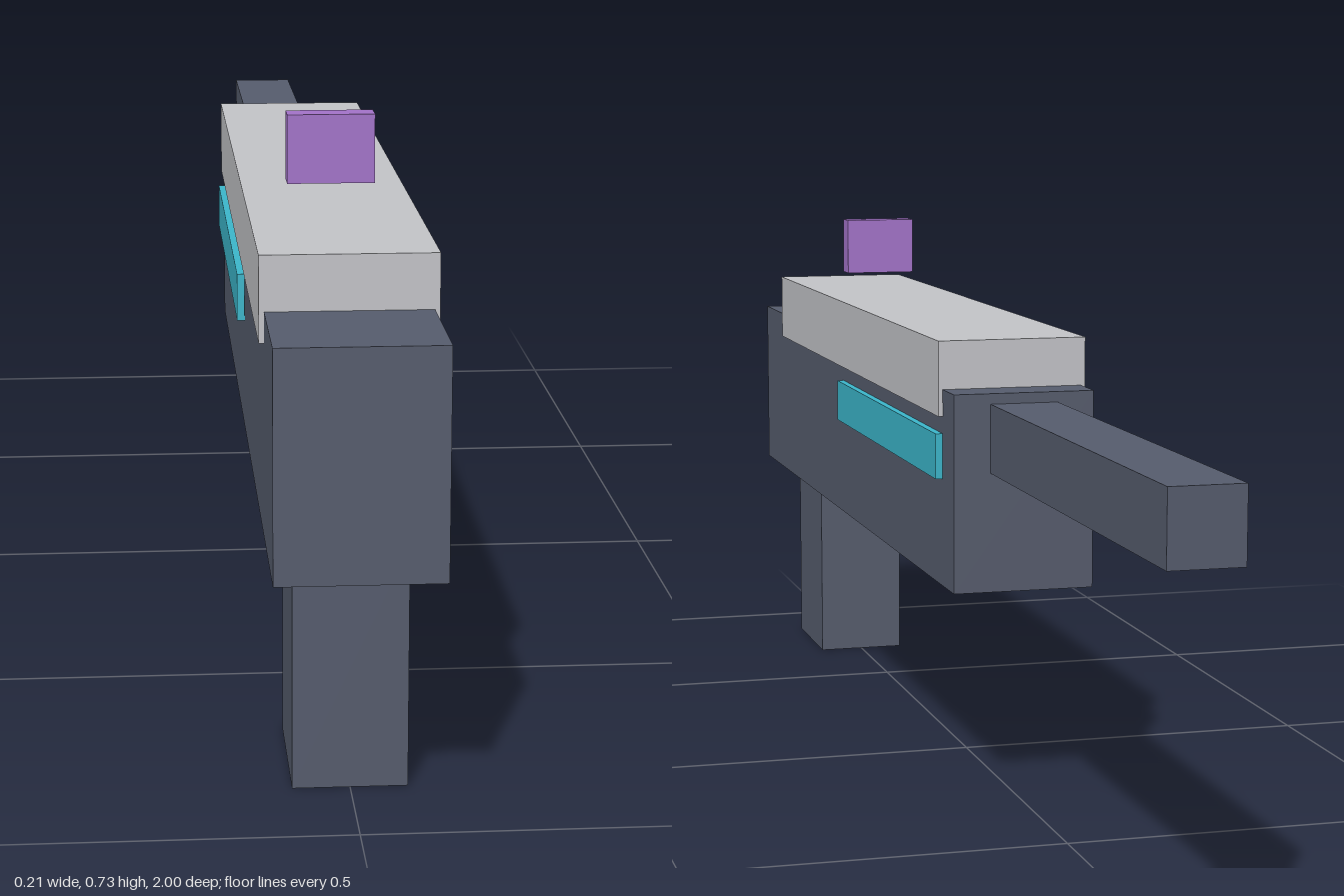
import * as THREE from 'three';

const material = (name, color) => {
  const m = new THREE.MeshStandardMaterial({ color });
  m.name = name;
  return m;
};

export function createModel() {
  const model = new THREE.Group();
  model.name = 'blaster';
  const slate = material('slate', 0x565c6d);
  const silver = material('silver', 0xc3c4c8);
  const teal = material('teal', 0x3cb6cb);
  const purple = material('purple', 0xa373c9);

  // Box given by its lower and upper limits on each axis
  const box = (name, mat, [x0, x1], [y0, y1], [z0, z1]) => {
    const mesh = new THREE.Mesh(new THREE.BoxGeometry(x1 - x0, y1 - y0, z1 - z0), mat);
    mesh.position.set((x0 + x1) / 2, (y0 + y1) / 2, (z0 + z1) / 2);
    mesh.name = name;
    model.add(mesh);
  };

  // Main body, barrel and grip
  box('body', slate, [-0.096, 0.096], [0.29, 0.556], [-0.295, 1]);
  box('barrel', slate, [-0.046, 0.046], [0.45, 0.542], [-1, -0.295]);
  box('grip', slate, [-0.067, 0.067], [0, 0.29], [0.69, 0.868]);

  // Top cover, slightly wider than the body, with the floating sight above
  box('topCover', silver, [-0.102, 0.102], [0.52, 0.621], [-0.237, 0.835]);
  box('sight', purple, [-0.053, 0.053], [0.65, 0.734], [0.532, 0.566]);

  // Glowing strip on each side
  box('leftStrip', teal, [0.0962, 0.106], [0.436, 0.497], [-0.237, 0.377]);
  box('rightStrip', teal, [-0.106, -0.0962], [0.436, 0.497], [-0.237, 0.377]);

  return model;
}
